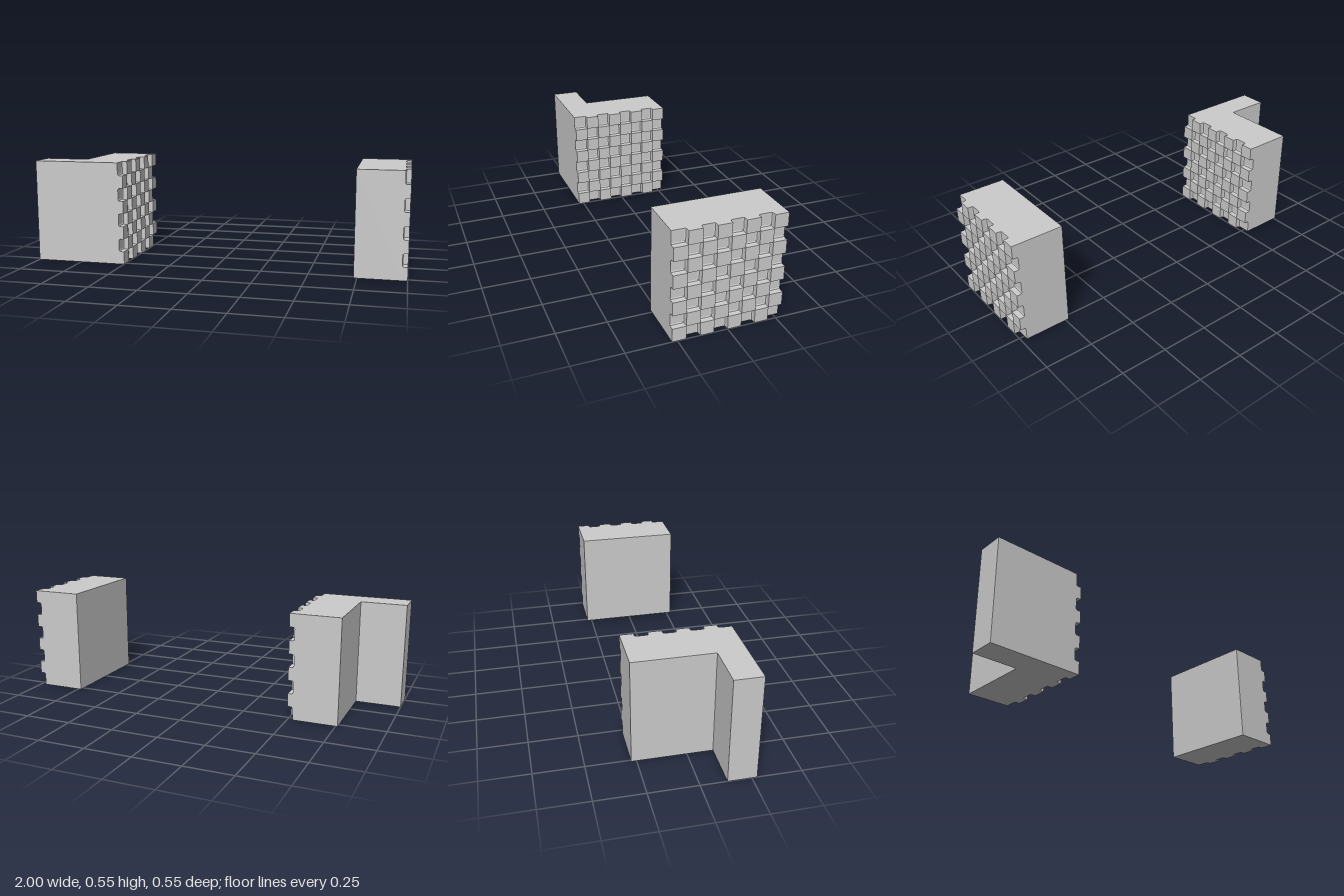
import * as THREE from 'three';
import { mergeGeometries } from 'three/addons/utils/BufferGeometryUtils.js';

const H = 0.553;          // jaw height and width
const HALF = H / 2;
const N = 8;              // grip cells per side
const CELL = H / N;
const DEPTH = 0.028;      // tooth height
const R = 0.009;          // fillet at the foot of each tooth

const material = new THREE.MeshStandardMaterial({ color: 0xcccccc, flatShading: true });

// Upright block from a footprint of [x, z] points
function block(points, name) {
  const shape = new THREE.Shape(points.map(([x, z]) => new THREE.Vector2(x, -z)));
  const geo = new THREE.ExtrudeGeometry(shape, { depth: H, bevelEnabled: false });
  geo.rotateX(-Math.PI / 2);
  const mesh = new THREE.Mesh(geo, material);
  mesh.name = name;
  return mesh;
}

// One tooth along +x, flared at its foot but kept inside the jaw outline
function tooth(row, col) {
  const geo = new THREE.BoxGeometry(3, CELL, CELL, 3, 1, 1);
  const heights = [0, R * 0.29, R, DEPTH];
  const flares = [R, R * 0.29, 0, 0];
  const p = geo.attributes.position;
  const y0 = (row + 0.5) * CELL;
  const z0 = HALF - (col + 0.5) * CELL;
  for (let i = 0; i < p.count; i++) {
    const level = Math.round(p.getX(i) + 1.5);
    const f = flares[level];
    const y = y0 + p.getY(i) + Math.sign(p.getY(i)) * f;
    const z = z0 + p.getZ(i) + Math.sign(p.getZ(i)) * f;
    p.setXYZ(i, heights[level],
      THREE.MathUtils.clamp(y, 0, H),
      THREE.MathUtils.clamp(z, -HALF, HALF));
  }
  geo.computeVertexNormals();
  return geo;
}

// Checkerboard of teeth on the jaw face at x
function gripTeeth(x, name) {
  const teeth = [];
  for (let row = 0; row < N; row++) {
    for (let col = row % 2; col < N; col += 2) teeth.push(tooth(row, col));
  }
  const mesh = new THREE.Mesh(mergeGeometries(teeth), material);
  mesh.position.x = x;
  mesh.name = name;
  return mesh;
}

export function createModel() {
  const model = new THREE.Group();
  model.name = 'gripJaws';

  // Angled jaw with a side flange
  const angled = new THREE.Group();
  angled.name = 'flangedJaw';
  const faceA = -0.498 - DEPTH;
  angled.add(
    block([[-1, HALF], [faceA, HALF], [faceA, -HALF],
      [-0.76, -HALF], [-0.76, 0.132], [-1, 0.132]], 'flangedJawBody'),
    gripTeeth(faceA, 'flangedJawTeeth'));

  // Plain rectangular jaw
  const plain = new THREE.Group();
  plain.name = 'plainJaw';
  const faceB = 1 - DEPTH;
  plain.add(
    block([[0.733, HALF], [faceB, HALF], [faceB, -HALF], [0.733, -HALF]], 'plainJawBody'),
    gripTeeth(faceB, 'plainJawTeeth'));

  model.add(angled, plain);
  return model;
}
